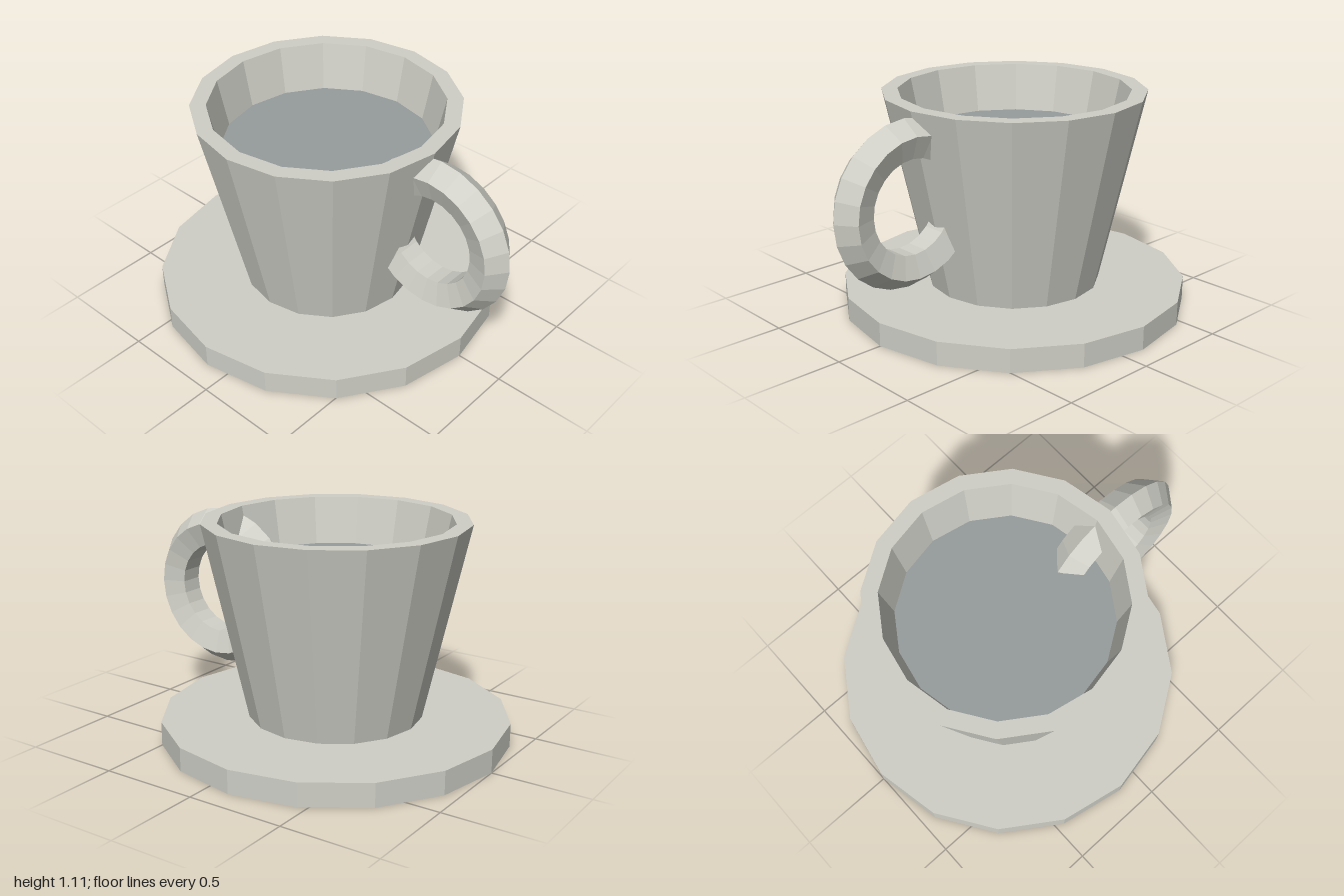
import * as THREE from 'three';

const SIDES = 16;

export function createModel() {
  const model = new THREE.Group();
  const ceramic = new THREE.MeshStandardMaterial({ color: 0xcfcfc7, flatShading: true });
  ceramic.name = 'ceramic';
  const drink = new THREE.MeshStandardMaterial({ color: 0x979d9c, flatShading: true });
  drink.name = 'drink';

  const add = (name, geometry, material, x, y) => {
    const mesh = new THREE.Mesh(geometry, material);
    mesh.name = name;
    mesh.position.set(x, y, 0);
    model.add(mesh);
  };
  const axis = -0.12; // shared centre of saucer and cup

  // Saucer: a plain faceted disc
  add('saucer', new THREE.CylinderGeometry(0.88, 0.88, 0.12, SIDES), ceramic, axis, 0.06);

  // Cup: tapered outer wall, flat rim and inner wall down past the liquid
  const profile = [[0.44, 0.12], [0.66, 1.11], [0.58, 1.11], [0.525, 0.85]]
    .map(([r, y]) => new THREE.Vector2(r, y));
  add('cup', new THREE.LatheGeometry(profile, SIDES), ceramic, axis, 0);

  // Liquid surface inside the cup
  const surface = new THREE.CircleGeometry(0.53, SIDES);
  surface.rotateX(-Math.PI / 2);
  add('liquid', surface, drink, axis, 0.87);

  // Handle: a five-sided ring that runs through the cup wall
  add('handle', new THREE.TorusGeometry(0.315, 0.1, 5, 24), ceramic, 0.58, 0.67);

  return model;
}
